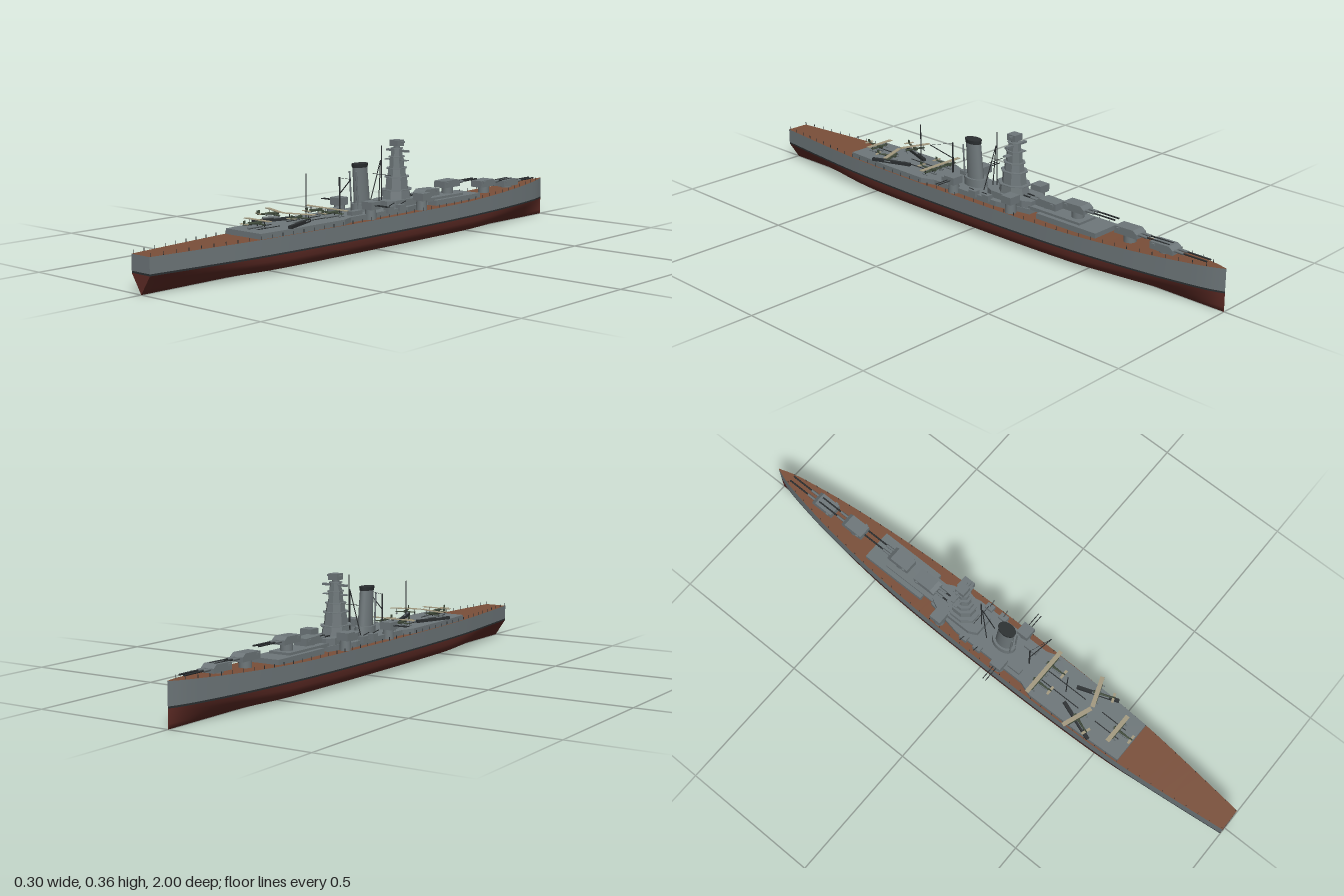
import * as THREE from 'three';

const mat = (color, flatShading = false) => new THREE.MeshStandardMaterial({ color, flatShading });
const GREY = mat(0x6e777a), GREYFLAT = mat(0x6e777a, true), DARK = mat(0x2b2f31);
const RED = mat(0x5e2b25), WOOD = mat(0x7a4f39), SAND = mat(0xa39a80), GREEN = mat(0x3f4a3a);

// Hull half-breadth along z (bow at -1, stern at +1)
const PLAN = new THREE.SplineCurve([
  [-1, 0.001], [-0.95, 0.018], [-0.88, 0.033], [-0.75, 0.054], [-0.6, 0.071], [-0.4, 0.086], [-0.2, 0.093],
  [0, 0.095], [0.2, 0.095], [0.4, 0.091], [0.6, 0.082], [0.8, 0.063], [1, 0.041],
].map(p => new THREE.Vector2(...p))).getPoints(72);
const halfWidth = z => {
  const i = Math.max(1, PLAN.findIndex(p => p.x >= z)), a = PLAN[i - 1], b = PLAN[i];
  return a.y + (b.y - a.y) * (z - a.x) / (b.x - a.x);
};
const deckY = z => 0.12 + 0.023 * Math.pow(Math.max(0, (-0.4 - z) / 0.6), 1.5);

function add(parent, name, geo, material, x = 0, y = 0, z = 0) {
  const m = new THREE.Mesh(geo, material);
  m.name = name;
  m.position.set(x, y, z);
  parent.add(m);
  return m;
}
// Box standing on height y
const box = (p, name, w, h, d, x, y, z, material = GREY) =>
  add(p, name, new THREE.BoxGeometry(w, h, d), material, x, y + h / 2, z);
// Round bar between two points
function bar(p, name, a, b, r, material = DARK) {
  const va = new THREE.Vector3(...a), vb = new THREE.Vector3(...b), d = vb.clone().sub(va);
  const m = add(p, name, new THREE.CylinderGeometry(r, r, d.length(), 6), material);
  m.position.copy(va).addScaledVector(d, 0.5);
  m.quaternion.setFromUnitVectors(new THREE.Vector3(0, 1, 0), d.normalize());
}
// Skin over the stations; section(z, w) returns [x, y] points
function loft(p, name, section, material) {
  const pos = [], idx = [];
  PLAN.forEach((s, i) => {
    const pts = section(s.x, s.y), n = pts.length;
    pts.forEach(q => pos.push(q[0], q[1], s.x));
    if (i) for (let j = 0; j < n - 1; j++) {
      const c = i * n + j, a = c - n;
      idx.push(a, a + 1, c, a + 1, c + 1, c);
    }
  });
  const g = new THREE.BufferGeometry();
  g.setAttribute('position', new THREE.Float32BufferAttribute(pos, 3));
  g.setIndex(idx);
  g.computeVertexNormals();
  add(p, name, g, material);
}
const shape = pts => new THREE.Shape(pts.map(p => new THREE.Vector2(...p)));
// Plan outline [x, z] of the +x half, mirrored and raised by h
function slab(p, name, half, h, y) {
  const right = half.map(([x, z]) => [x, -z]), left = half.map(([x, z]) => [-x, -z]).reverse();
  const g = new THREE.ExtrudeGeometry(shape([...right, ...left]), { depth: h, bevelEnabled: false });
  add(p, name, g.rotateX(-Math.PI / 2), GREY, 0, y, 0);
}

function hull(ship) {
  const g = new THREE.Group();
  g.name = 'hull';
  ship.add(g);
  // Full midship section blends into a V at both ends
  const FULL = [[0, 0.002], [0.55, 0.009], [0.78, 0.017], [0.91, 0.03], [0.98, 0.045], [1, 0.063]];
  const VEE = [[0, 0.002], [0.25, 0.017], [0.5, 0.033], [0.75, 0.048], [0.9, 0.057], [1, 0.063]];
  loft(g, 'underwaterHull', (z, w) => {
    const f = 1 - THREE.MathUtils.smoothstep(Math.abs(z), 0.45, 1);
    const half = FULL.map(([x, y], i) => [
      w * THREE.MathUtils.lerp(VEE[i][0], x, f), THREE.MathUtils.lerp(VEE[i][1], y, f)]);
    return [...half.slice(1).reverse().map(([x, y]) => [-x, y]), ...half];
  }, RED);
  for (const s of [1, -1]) {
    const side = (lo, top) => (z, w) => {
      const pts = [[s * w, lo], [s * w, top(z)]];
      return s > 0 ? pts : pts.reverse();
    };
    loft(g, 'waterlineStripe', side(0.063, () => 0.069), DARK);
    loft(g, 'hullSide', side(0.069, deckY), GREY);
  }
  loft(g, 'mainDeck', (z, w) => [[w, deckY(z)], [-w, deckY(z)]], WOOD);
  // Flat stern
  const w = PLAN[PLAN.length - 1].y;
  const panel = (name, pts, m) => add(g, name, new THREE.ShapeGeometry(shape(pts)), m, 0, 0, 1);
  panel('lowerTransom', [[0, 0.002], [w, 0.063], [-w, 0.063]], RED);
  panel('transomStripe', [[-w, 0.063], [w, 0.063], [w, 0.069], [-w, 0.069]], DARK);
  panel('transom', [[-w, 0.069], [w, 0.069], [w, 0.12], [-w, 0.12]], GREY);
  // Rail posts
  for (let z = -0.94; z < 1; z += 0.045) for (const s of [1, -1])
    box(g, 'railPost', 0.0015, 0.011, 0.0015, s * (halfWidth(z) - 0.003), deckY(z), z, DARK);
}

// Twin gun turret; dir -1 points to the bow, +1 to the stern
function turret(ship, z, base, y, dir) {
  const g = new THREE.Group();
  g.name = 'mainTurret';
  g.position.set(0, y, z);
  if (dir > 0) g.rotation.y = Math.PI;
  ship.add(g);
  add(g, 'barbette', new THREE.CylinderGeometry(0.021, 0.021, y - base, 20), GREY, 0, (base - y) / 2, 0);
  // Side profile with the sloped face toward -z
  const house = new THREE.ExtrudeGeometry(
    shape([[-0.045, 0], [0.043, 0], [0.043, 0.015], [0.028, 0.026], [-0.045, 0.024]]), { depth: 0.048, bevelEnabled: false });
  add(g, 'gunHouse', house.rotateY(Math.PI / 2).translate(-0.024, 0, 0), GREY);
  box(g, 'rangefinder', 0.058, 0.008, 0.01, 0, 0.013, 0.03);
  for (const x of [-0.01, 0.01]) {
    bar(g, 'gunSleeve', [x, 0.012, -0.04], [x, 0.012, -0.075], 0.005, GREY);
    bar(g, 'gunBarrel', [x, 0.012, -0.04], [x, 0.013, -0.16], 0.003);
  }
}

function bridge(ship) {
  const g = new THREE.Group();
  g.name = 'bridgeTower';
  ship.add(g);
  slab(g, 'bridgeBase', [[0.035, -0.05], [0.05, -0.08], [0.05, -0.22], [0.035, -0.25]], 0.026, 0.135);
  // Stacked eight-sided tiers: [bottom y, top y, half width, half length]
  for (const [lo, hi, rx, rz] of [[0.16, 0.192, 0.043, 0.055], [0.192, 0.236, 0.036, 0.044],
    [0.236, 0.266, 0.03, 0.036], [0.266, 0.305, 0.023, 0.03], [0.305, 0.334, 0.019, 0.023]]) {
    const tier = new THREE.CylinderGeometry(0.96, 1.06, hi - lo, 8).rotateY(Math.PI / 8).scale(rx, 1, rz);
    add(g, 'towerTier', tier, GREYFLAT, 0, (lo + hi) / 2, -0.14);
    const rim = new THREE.CylinderGeometry(1.15, 1.15, 0.003, 8).rotateY(Math.PI / 8).scale(rx, 1, rz);
    add(g, 'towerPlatform', rim, GREYFLAT, 0, hi, -0.14);
  }
  box(g, 'lookoutWing', 0.094, 0.003, 0.02, 0, 0.292, -0.14);
  box(g, 'mainRangefinder', 0.096, 0.007, 0.012, 0, 0.322, -0.145);
  add(g, 'directorPost', new THREE.CylinderGeometry(0.012, 0.012, 0.012, 12), GREY, 0, 0.338, -0.14);
  box(g, 'directorTop', 0.036, 0.021, 0.036, 0, 0.342, -0.14);
  box(g, 'directorArms', 0.057, 0.006, 0.009, 0, 0.353, -0.145);
}

function funnel(ship) {
  const g = new THREE.Group();
  g.name = 'funnel';
  ship.add(g);
  // Oval rings sheared toward the stern
  const shear = new THREE.Matrix4().set(1, 0, 0, 0, 0, 1, 0, 0, 0, 0.08, 1, 0, 0, 0, 0, 1);
  const ring = (name, r0, r1, h, y, material) => add(g, name,
    new THREE.CylinderGeometry(r0, r1, h, 24).scale(0.66, 1, 1).translate(0, y, 0).applyMatrix4(shear), material, 0, 0, 0.027);
  ring('funnelBase', 0.045, 0.047, 0.03, 0.15, GREY);
  ring('funnelStack', 0.03, 0.034, 0.14, 0.22, GREY);
  ring('funnelCap', 0.034, 0.032, 0.013, 0.293, DARK);
  for (const s of [1, -1]) bar(g, 'steamPipe', [s * 0.015, 0.14, 0.075], [s * 0.015, 0.275, 0.085], 0.003, GREY);
}

// Floatplane with its nose to -z
function floatplane(ship, x, z, turn, y = 0.139) {
  const g = new THREE.Group();
  g.name = 'floatplane';
  g.position.set(x, y, z);
  g.rotation.y = turn;
  ship.add(g);
  add(g, 'fuselage', new THREE.CylinderGeometry(0.002, 0.0055, 0.075, 8).rotateX(Math.PI / 2), GREEN, 0, 0.018, 0.012);
  bar(g, 'mainFloat', [0, 0.005, -0.03], [0, 0.005, 0.03], 0.004, GREY);
  bar(g, 'floatStrut', [0, 0.005, -0.01], [0, 0.018, -0.01], 0.002);
  box(g, 'lowerWing', 0.072, 0.002, 0.013, 0, 0.014, -0.01, GREEN);
  box(g, 'upperWing', 0.112, 0.002, 0.015, 0, 0.026, -0.012, SAND);
  box(g, 'tailplane', 0.034, 0.002, 0.009, 0, 0.019, 0.045, SAND);
  box(g, 'tailFin', 0.002, 0.012, 0.01, 0, 0.019, 0.045, GREEN);
  for (const s of [1, -1]) {
    bar(g, 'wingStrut', [s * 0.033, 0.007, -0.01], [s * 0.033, 0.027, -0.01], 0.001);
    bar(g, 'wingFloat', [s * 0.033, 0.007, -0.02], [s * 0.033, 0.007, 0.005], 0.002, GREY);
  }
}

export function createModel() {
  const ship = new THREE.Group();
  ship.name = 'cruiser';
  hull(ship);
  // Deckhouses
  slab(ship, 'aftDeckhouse', [[0.078, 0.59], [0.086, 0.42], [0.088, 0.22], [0.07, 0.17], [0.07, -0.12], [0.045, -0.25]], 0.02, 0.118);
  box(ship, 'forwardDeckhouse', 0.112, 0.021, 0.25, 0, 0.118, -0.415);
  box(ship, 'forwardUpperHouse', 0.08, 0.012, 0.22, 0, 0.135, -0.35);
  // Main guns
  turret(ship, -0.775, 0.12, 0.137, -1);
  turret(ship, -0.635, 0.12, 0.149, -1);
  turret(ship, -0.42, 0.14, 0.17, -1);
  turret(ship, -0.3, 0.12, 0.15, 1);
  bridge(ship);
  funnel(ship);

  for (const s of [1, -1]) {
    // Twin secondary mounts
    for (const z of [-0.19, 0.075]) {
      add(ship, 'secondaryPedestal', new THREE.CylinderGeometry(0.018, 0.02, 0.036, 16), GREY, s * 0.071, 0.136, z);
      box(ship, 'secondaryGunHouse', 0.044, 0.026, 0.044, s * 0.073, 0.154, z);
    }
    for (const z of [0.069, 0.081]) bar(ship, 'secondaryBarrel', [s * 0.09, 0.168, z], [s * 0.15, 0.168, z], 0.0016);
    // Light guns amidships
    for (const z of [-0.08, -0.02]) {
      box(ship, 'lightGunTub', 0.022, 0.022, 0.03, s * 0.07, 0.13, z);
      bar(ship, 'lightGun', [s * 0.07, 0.153, z], [s * 0.093, 0.166, z], 0.0015);
    }
    box(ship, 'boatBlock', 0.022, 0.015, 0.05, s * 0.045, 0.137, 0.125);
    // Catapult, deck rails and planes
    const catapult = box(ship, 'catapult', 0.012, 0.01, 0.15, s * 0.06, 0.139, 0.4, DARK);
    catapult.rotation.y = s * 0.35;
    floatplane(ship, s * 0.06, 0.41, s * 0.35, 0.148);
    floatplane(ship, s * 0.037, 0.225, 0);
    for (const z of [0.27, 0.33, 0.5]) box(ship, 'aircraftRail', 0.003, 0.003, 0.1, s * 0.02, 0.137, z, DARK);
    bar(ship, 'mastLeg', [0, 0.3, -0.055], [s * 0.022, 0.138, -0.02], 0.0017);
  }
  floatplane(ship, 0, 0.54, 0);

  // Masts, yard and crane
  bar(ship, 'foreMast', [0, 0.138, -0.06], [0, 0.35, -0.06], 0.002);
  bar(ship, 'foreYard', [-0.04, 0.25, -0.06], [0.04, 0.25, -0.06], 0.001);
  bar(ship, 'craneMast', [0, 0.138, 0.15], [0, 0.262, 0.15], 0.003);
  bar(ship, 'craneBoom', [0, 0.205, 0.152], [0.078, 0.265, 0.18], 0.0017);
  bar(ship, 'craneStay', [0, 0.26, 0.15], [0.078, 0.265, 0.18], 0.0006);
  bar(ship, 'aftMast', [0, 0.138, 0.31], [0, 0.29, 0.31], 0.002);
  return ship;
}
